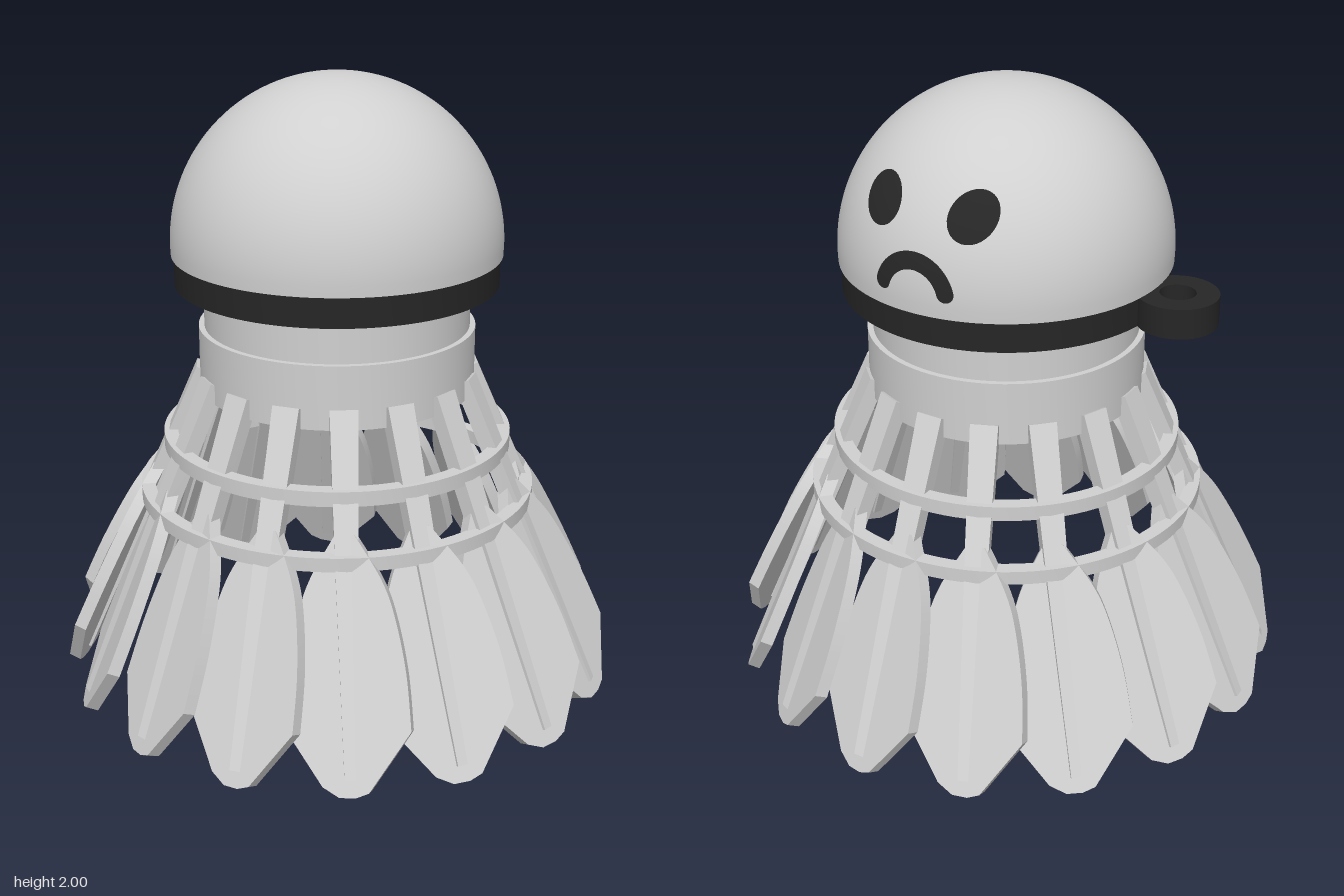
import * as THREE from 'three';
import { toCreasedNormals } from 'three/addons/utils/BufferGeometryUtils.js';

const white = new THREE.MeshStandardMaterial({ color: 0xd0d0d0 });
white.name = 'light grey plastic';
const black = new THREE.MeshStandardMaterial({ color: 0x262626 });
black.name = 'black plastic';

const FEATHERS = 16;
const DOME_R = 0.525, DOME_Y = 1.475;

function add(parent, name, geometry, material) {
  const mesh = new THREE.Mesh(geometry, material);
  mesh.name = name;
  parent.add(mesh);
  return mesh;
}

function lathe(profile) {
  const points = profile.map(([r, y]) => new THREE.Vector2(r, y));
  return toCreasedNormals(new THREE.LatheGeometry(points, 96), 0.6);
}

// Rectangular-section ring around the y axis
function ring(inner, outer, y0, y1) {
  return lathe([[inner, y0], [outer, y0], [outer, y1], [inner, y1], [inner, y0]]);
}

// Plate centred on z = 0
function plate(shape, depth) {
  const g = new THREE.ExtrudeGeometry(shape, { depth, bevelEnabled: false, curveSegments: 16 });
  g.translate(0, 0, -depth / 2);
  return toCreasedNormals(g, 0.5);
}

// Lays a flat patch, drawn as seen from +x, onto the dome surface
function wrapOnDome(geometry) {
  const p = geometry.attributes.position, r = DOME_R + 0.004;
  for (let i = 0; i < p.count; i++) {
    const u = p.getX(i), v = p.getY(i), h = v - DOME_Y;
    p.setXYZ(i, Math.sqrt(r * r - u * u - h * h), v, -u);
  }
  geometry.computeVertexNormals();
  return geometry;
}

function disc(u, v, r) {
  return wrapOnDome(new THREE.RingGeometry(0, r, 32, 6).translate(u, v, 0));
}

// Stem tapering downwards from the collar to near the feather tip
function stemGeometry() {
  const s = new THREE.Shape();
  s.moveTo(-0.043, 0);
  s.lineTo(-0.036, -0.4);
  s.lineTo(-0.018, -1.09);
  s.lineTo(0.018, -1.09);
  s.lineTo(0.036, -0.4);
  s.lineTo(0.043, 0);
  return plate(s, 0.05);
}

// Leaf outline: curved sides and a cut, pointed end
function bladeGeometry() {
  const side = [[0.03, -0.37], [0.108, -0.5], [0.147, -0.61], [0.178, -0.775], [0.19, -0.945]];
  const right = side.map(([x, y]) => new THREE.Vector2(x, y));
  const left = side.map(([x, y]) => new THREE.Vector2(-x, y)).reverse();
  const s = new THREE.Shape();
  s.moveTo(right[0].x, right[0].y);
  s.splineThru(right.slice(1));
  s.lineTo(0.06, -1.125);
  s.lineTo(0.02, -1.14);
  s.lineTo(-0.03, -1.14);
  s.lineTo(-0.08, -1.11);
  s.lineTo(left[0].x, left[0].y);
  s.splineThru(left.slice(1));
  return plate(s, 0.04);
}

export function createModel() {
  const model = new THREE.Group();
  model.name = 'shuttlecock';

  // Rounded head
  const dome = [[0.4, 1.44], [DOME_R - 0.001, 1.44]];
  for (let i = 0; i <= 32; i++) {
    const a = (i / 32) * Math.PI / 2;
    dome.push([DOME_R * Math.cos(a), DOME_Y + DOME_R * Math.sin(a)]);
  }
  add(model, 'dome', lathe(dome), white);

  // Stepped neck and collar
  add(model, 'neck', lathe([[0.425, 1.19], [0.425, 1.44]]), white);
  add(model, 'collar', lathe([[0, 1.0], [0.443, 1.0], [0.443, 1.205], [0.42, 1.205]]), white);

  // Dark band with a hanging loop at the back
  add(model, 'band', ring(0.47, 0.515, 1.345, 1.441), black);
  const loop = new THREE.Shape().absarc(0, 0, 0.125, 0, Math.PI * 2);
  loop.holes.push(new THREE.Path().absarc(0, 0, 0.055, 0, Math.PI * 2, true));
  const loopMesh = add(model, 'hangingLoop', plate(loop, 0.095), black);
  loopMesh.rotation.x = -Math.PI / 2;
  loopMesh.position.set(0, 1.393, -0.593);

  // Sad face on the +x side
  const face = new THREE.Group();
  face.name = 'face';
  model.add(face);
  for (const s of [-1, 1]) add(face, s < 0 ? 'leftEye' : 'rightEye', disc(s * 0.15, 1.735, 0.07), black);
  const tilt = 0.27, mouthY = 1.49, mouthR = 0.11;
  const arc = new THREE.RingGeometry(mouthR - 0.026, mouthR + 0.026, 40, 4, tilt, Math.PI - 2 * tilt);
  add(face, 'mouth', wrapOnDome(arc.translate(0, mouthY, 0)), black);
  for (const s of [-1, 1]) {
    add(face, 'mouthEnd', disc(s * mouthR * Math.cos(tilt), mouthY + mouthR * Math.sin(tilt), 0.026), black);
  }

  // Hoops tying the stems together
  add(model, 'upperHoop', ring(0.52, 0.565, 0.805, 0.853), white);
  add(model, 'lowerHoop', ring(0.6, 0.645, 0.63, 0.675), white);

  // Skirt of leaning feathers, each blade twisted about its stem
  const stemGeo = stemGeometry(), bladeGeo = bladeGeometry();
  for (let i = 0; i < FEATHERS; i++) {
    const spoke = new THREE.Group();
    spoke.name = 'feather';
    spoke.rotation.y = (i / FEATHERS) * Math.PI * 2;
    const lean = new THREE.Group();
    lean.name = 'featherLean';
    lean.position.set(0, 1.06, 0.43);
    lean.rotation.x = -Math.atan(0.437);
    add(lean, 'stem', stemGeo, white);
    add(lean, 'blade', bladeGeo, white).rotation.y = -0.27;
    spoke.add(lean);
    model.add(spoke);
  }
  return model;
}
